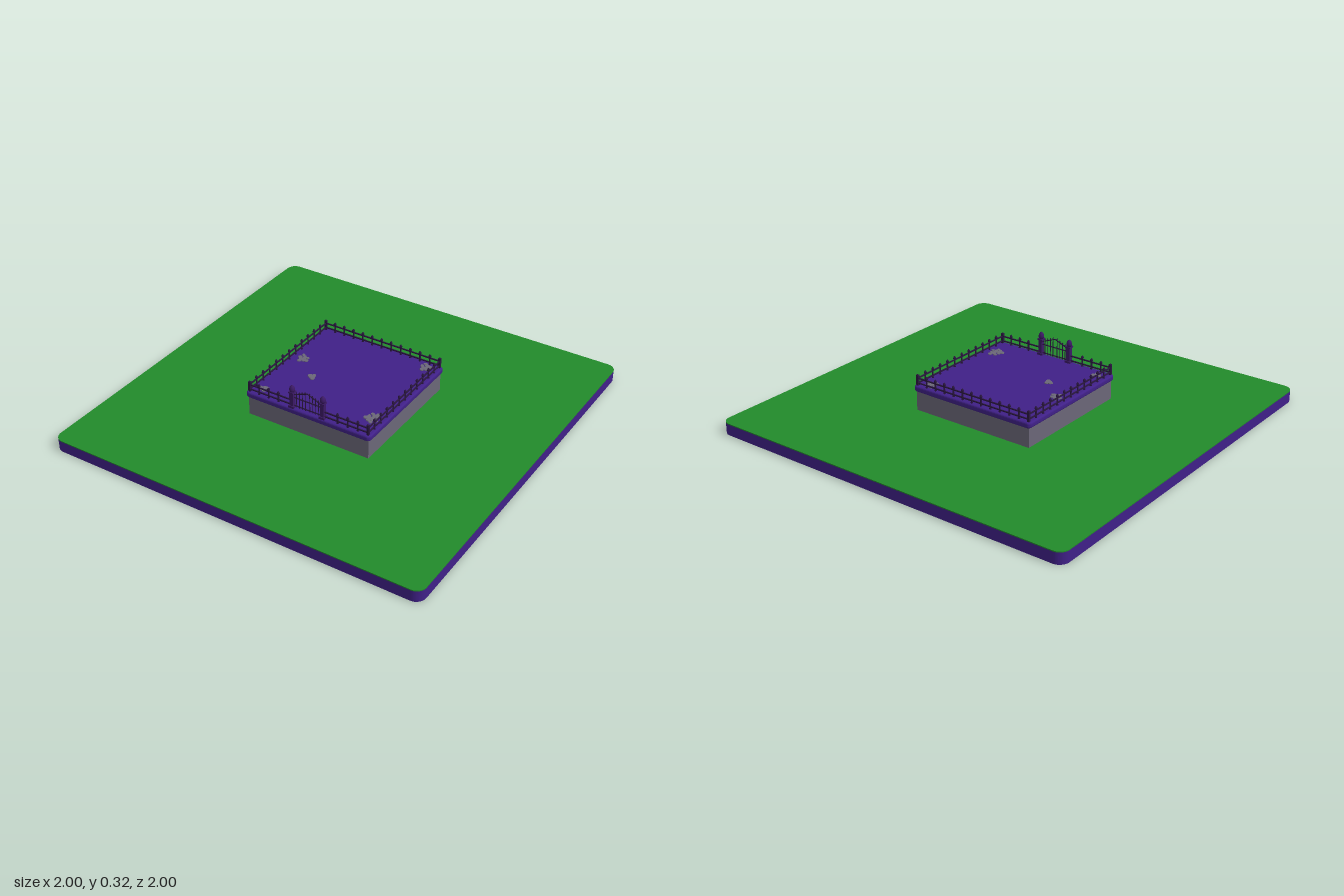
import * as THREE from 'three';

const mat = (name, color) => Object.assign(new THREE.MeshStandardMaterial({ color }), { name });

export function createModel() {
  const purple = mat('purple earth', 0x402088);
  const green = mat('grass green', 0x228b2b);
  const grey = mat('stone grey', 0x6b6778);
  const iron = mat('dark iron', 0x2a1640);
  const pillarPurple = mat('pillar purple', 0x3c1a66);
  const model = new THREE.Group();
  model.name = 'fencedPlot';

  const add = (parent, name, geometry, material, x = 0, y = 0, z = 0) => {
    const mesh = new THREE.Mesh(geometry, material);
    mesh.name = name;
    mesh.position.set(x, y, z);
    parent.add(mesh);
    return mesh;
  };
  const group = (name, parent = model) => {
    const g = new THREE.Group();
    g.name = name;
    parent.add(g);
    return g;
  };

  // Square slab with rounded corners, lying flat from y = 0 to y = height
  const slab = (size, radius, height, bevel = 0) => {
    const h = size / 2 - bevel, c = h - radius;
    const shape = new THREE.Shape();
    [[c, c, 0], [-c, c, 1], [-c, -c, 2], [c, -c, 3]].forEach(([x, y, q]) =>
      shape.absarc(x, y, radius, q * Math.PI / 2, (q + 1) * Math.PI / 2, false));
    const geo = new THREE.ExtrudeGeometry(shape, {
      depth: height - 2 * bevel, curveSegments: 6, bevelEnabled: bevel > 0,
      bevelSize: bevel, bevelThickness: bevel, bevelSegments: 3,
    });
    return geo.translate(0, 0, bevel).rotateX(-Math.PI / 2);
  };

  // Ground, grass and raised plinth
  add(model, 'ground', slab(2, 0.05, 0.057), purple);
  add(model, 'grass', slab(2, 0.05, 0.005), green, 0, 0.057);
  add(model, 'plinth', new THREE.BoxGeometry(0.676, 0.11, 0.676), grey, 0, 0.115, 0);
  add(model, 'plinthCap', slab(0.7, 0.012, 0.03, 0.009), purple, 0, 0.163);

  const top = 0.192, edge = 0.333, step = edge / 6;

  // Fence pickets with spear tips, joined by two rails
  const picket = new THREE.LatheGeometry([
    [0, 0], [0.006, 0], [0.006, 0.004], [0.004, 0.006], [0.004, 0.042],
    [0.0075, 0.045], [0.0075, 0.049], [0.004, 0.056], [0, 0.06],
  ].map(([r, y]) => new THREE.Vector2(r, y)), 6);
  const rails = (parent, x0, x1) => [0.205, 0.23].forEach(y =>
    add(parent, 'rail', new THREE.BoxGeometry(x1 - x0, 0.006, 0.006), iron, (x0 + x1) / 2, y, edge));

  for (let side = 0; side < 4; side++) {
    const fence = group(['frontFence', 'leftFence', 'backFence', 'rightFence'][side]);
    fence.rotation.y = side * Math.PI / 2;
    for (let i = 0; i < 12; i++) {
      const x = -edge + i * step;
      if (side === 0 && Math.abs(x) < 0.12) continue; // gate opening
      add(fence, 'picket', picket, iron, x, top, edge);
    }
    if (side === 0) {
      rails(fence, -edge, -0.085);
      rails(fence, 0.085, edge);
    } else rails(fence, -edge, edge);
  }
  // Stouter corner posts
  const corners = group('cornerPosts');
  for (const sx of [-1, 1]) for (const sz of [-1, 1])
    add(corners, 'cornerPost', new THREE.BoxGeometry(0.012, 0.055, 0.012), iron,
      sx * edge, top + 0.0275, sz * edge);

  // Gate pillars with pointed caps
  const gate = group('gate');
  for (const s of [-1, 1]) {
    const x = s * 0.086;
    add(gate, 'pillarBase', new THREE.BoxGeometry(0.03, 0.012, 0.03), pillarPurple, x, top + 0.006, edge);
    add(gate, 'pillar', new THREE.BoxGeometry(0.021, 0.085, 0.021), pillarPurple, x, 0.235, edge);
    add(gate, 'pillarCollar', new THREE.BoxGeometry(0.029, 0.008, 0.029), pillarPurple, x, 0.277, edge);
    add(gate, 'pillarCap', new THREE.LatheGeometry([
      [0, 0], [0.012, 0], [0.0145, 0.012], [0.012, 0.024], [0.006, 0.032], [0, 0.036],
    ].map(([r, y]) => new THREE.Vector2(r, y)), 10), pillarPurple, x, 0.28, edge);
  }

  // Gate bars rising to the middle under a peaked top rail
  const peak = x => 0.296 - Math.abs(x) * 0.4;
  for (let i = -4; i <= 4; i++) {
    if (i === 0) continue;
    const x = i * 0.0165 - Math.sign(i) * 0.004, h = peak(x) + 0.008 - 0.197;
    add(gate, 'gateBar', new THREE.CylinderGeometry(0.002, 0.002, h, 6), iron, x, 0.197 + h / 2, edge);
    add(gate, 'barTip', new THREE.ConeGeometry(0.0035, 0.009, 6), iron, x, 0.197 + h + 0.002, edge);
  }
  for (const y of [0.205, 0.25])
    add(gate, 'gateRail', new THREE.BoxGeometry(0.16, 0.004, 0.005), iron, 0, y, edge);
  for (const s of [-1, 1]) {
    const rail = add(gate, 'peakedRail', new THREE.BoxGeometry(0.083, 0.004, 0.005), iron,
      s * 0.0385, peak(0.0385), edge);
    rail.rotation.z = -s * Math.atan(0.4);
  }

  // Clusters of flat pebbles on the plinth
  let seed = 7;
  const rand = () => (seed = (seed * 16807) % 2147483647) / 2147483647;
  const pebbles = group('pebbles');
  const pebble = new THREE.CylinderGeometry(0.011, 0.012, 0.004, 7);
  [[0.275, -0.295, 0.028, 9], [-0.278, -0.04, 0.028, 9], [-0.147, 0.073, 0.017, 5],
    [0.28, 0.21, 0.034, 12], [-0.288, 0.284, 0.018, 6]].forEach(([cx, cz, r, n]) => {
    for (let i = 0; i < n; i++) {
      const a = i * 2.4, d = r * Math.sqrt((i + 0.4) / n);
      const p = add(pebbles, 'pebble', pebble, grey,
        cx + Math.cos(a) * d, top + 0.003, cz + Math.sin(a) * d * 1.1);
      p.scale.set(0.8 + rand() * 0.35, 1, 0.75 + rand() * 0.35);
      p.rotation.y = rand() * 6.28;
    }
  });

  return model;
}
